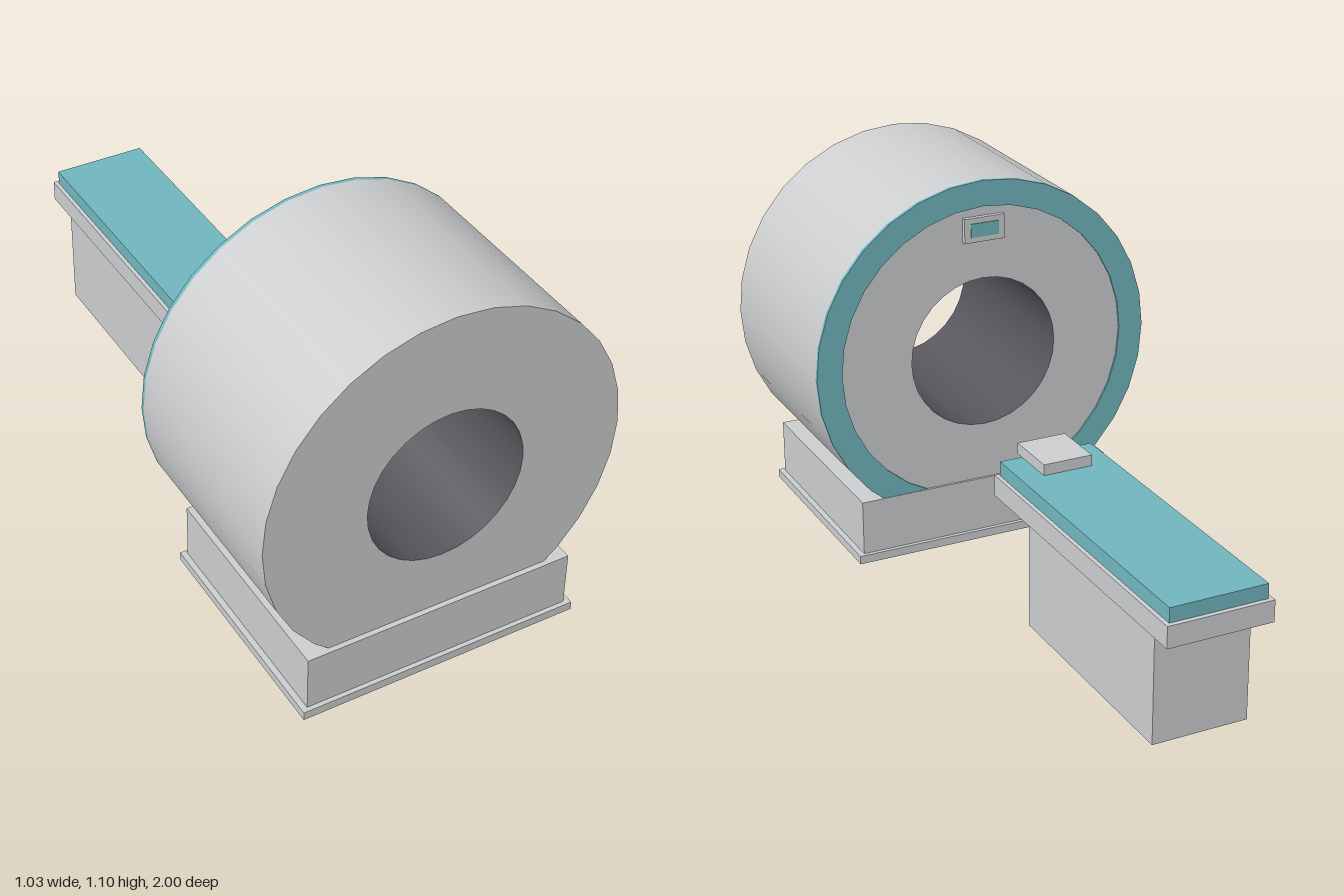
import * as THREE from 'three';

const SEG = 32;
const AXIS_Y = 0.585;      // height of the scanner axis
const R_OUT = 0.516, R_TRIM = 0.44, R_BORE = 0.226;

export function createModel() {
  const model = new THREE.Group();
  model.name = 'scanner';

  const grey = new THREE.MeshStandardMaterial({ color: 0xcbcdce });
  const teal = new THREE.MeshStandardMaterial({ color: 0x70b6be, side: THREE.DoubleSide });
  const dark = new THREE.MeshStandardMaterial({ color: 0x58565c, side: THREE.DoubleSide });
  grey.name = 'shell grey';
  teal.name = 'teal';
  dark.name = 'bore dark grey';

  function add(parent, name, geometry, material) {
    const mesh = new THREE.Mesh(geometry, material);
    mesh.name = name;
    parent.add(mesh);
    return mesh;
  }

  // Box given by its limits on each axis, symmetric in x
  function box(parent, name, halfX, [y0, y1], [z0, z1], material) {
    const g = new THREE.BoxGeometry(halfX * 2, y1 - y0, z1 - z0);
    g.translate(0, (y0 + y1) / 2, (z0 + z1) / 2);
    return add(parent, name, g, material);
  }

  // Open cylinder wall along z
  function wall(parent, name, r, z0, z1, material) {
    const g = new THREE.CylinderGeometry(r, r, z1 - z0, SEG, 1, true);
    g.rotateX(Math.PI / 2).translate(0, AXIS_Y, (z0 + z1) / 2);
    return add(parent, name, g, material);
  }

  // Flat annulus facing +z or -z
  function face(parent, name, rIn, rOut, z, back, material) {
    const g = new THREE.RingGeometry(rIn, rOut, SEG);
    if (back) g.rotateY(Math.PI);
    g.translate(0, AXIS_Y, z);
    return add(parent, name, g, material);
  }

  // Ring-shaped gantry with its bore
  const gantry = new THREE.Group();
  gantry.name = 'gantry';
  model.add(gantry);
  wall(gantry, 'gantryShell', R_OUT, 0.352, 0.972, grey);
  face(gantry, 'gantryFrontFace', R_BORE, R_OUT, 0.972, false, grey);
  face(gantry, 'gantryBackFace', R_BORE, R_TRIM, 0.346, true, grey);
  wall(gantry, 'bore', R_BORE, 0.346, 0.972, dark);

  // Raised trim ring around the patient side
  wall(gantry, 'trimOuterEdge', R_OUT, 0.341, 0.352, teal);
  face(gantry, 'trimFace', R_TRIM, R_OUT, 0.341, true, teal);
  wall(gantry, 'trimInnerEdge', R_TRIM, 0.341, 0.346, teal);

  // Control display above the bore
  box(gantry, 'displayFrame', 0.062, [0.925, 0.997], [0.332, 0.35], grey);
  box(gantry, 'displayScreen', 0.043, [0.941, 0.981], [0.329, 0.334], teal);

  // Gantry base
  box(model, 'base', 0.393, [0.025, 0.188], [0.339, 0.987], grey);
  box(model, 'plinth', 0.41, [0, 0.025], [0.327, 1.0], grey);

  // Patient table
  const table = new THREE.Group();
  table.name = 'patientTable';
  model.add(table);
  box(table, 'pedestal', 0.138, [0.004, 0.325], [-0.915, -0.225], grey);
  box(table, 'tableTop', 0.152, [0.323, 0.385], [-1.0, -0.04], grey);
  box(table, 'mattress', 0.14, [0.385, 0.427], [-0.987, -0.05], teal);
  box(table, 'headrest', 0.073, [0.427, 0.459], [-0.185, -0.023], grey);

  return model;
}
